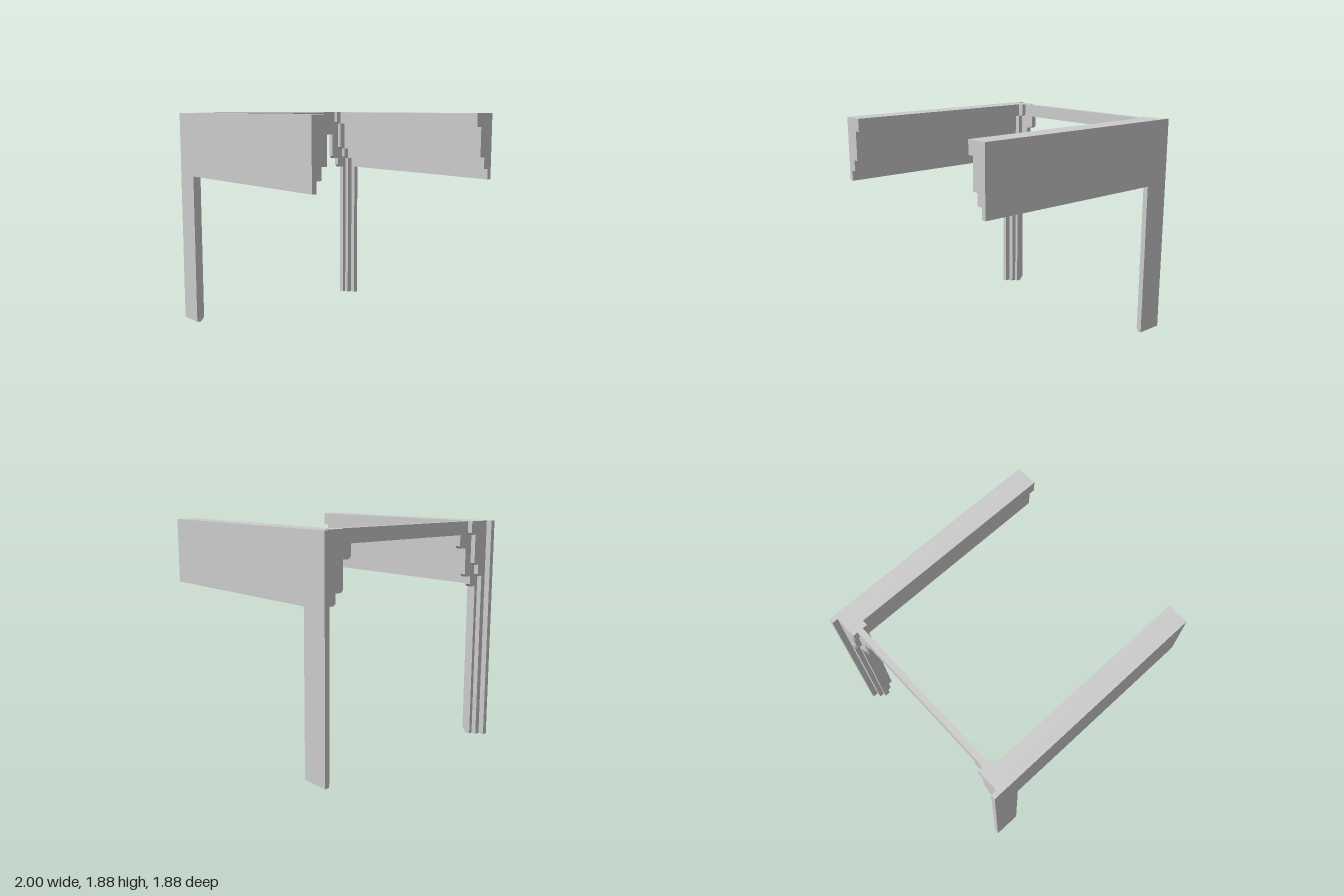
import * as THREE from 'three';

const TOP = 1.88, OUTER = 0.94, PLATE = 0.9; // height, outer face, inner face of the plates
const material = new THREE.MeshStandardMaterial({ color: 0xcccccc, flatShading: true });

// Stepped inner edge from bottom to top. Each step is [bottom y, z]; the lower inner corner is chamfered.
function steppedEdge(steps, chamfer) {
  const points = [];
  steps.forEach(([y, z], i) => {
    if (i === 0) {
      points.push([z, y]);
    } else {
      points.push([steps[i - 1][1], y]);
      if (chamfer) points.push([z + chamfer, y]);
      points.push([z, y + chamfer]);
    }
  });
  points.push([steps[steps.length - 1][1], TOP]);
  return points;
}

function toShape(points) {
  return new THREE.Shape(points.map(([a, b]) => new THREE.Vector2(a, b)));
}

// Extrude a (z, y) profile along x from x0 to x1
function alongX(name, points, x0, x1) {
  const geometry = new THREE.ExtrudeGeometry(toShape(points), { depth: x1 - x0, bevelEnabled: false });
  geometry.rotateY(-Math.PI / 2).translate(x1, 0, 0);
  const mesh = new THREE.Mesh(geometry, material);
  mesh.name = name;
  return mesh;
}

export function createModel() {
  const model = new THREE.Group();
  model.name = 'steppedPortal';

  const mouldingSteps = [[1.325, PLATE], [1.415, 0.855], [1.513, 0.806], [1.768, 0.756]];
  const pilasterSteps = [[0, 0.855], [1.415, 0.806], [1.513, 0.756], [1.768, 0.708]];
  const archSteps = [[0, 0.823], [1.325, 0.757], [1.415, 0.686], [1.655, 0.612]];

  for (const [side, s] of [['front', 1], ['back', -1]]) {
    const wall = new THREE.Group();
    wall.name = side + 'Wall';

    // Flat outer plate: post and side panel in one L shape
    const plateShape = toShape([[-1, 0], [-0.767, 0], [-0.767, 1.325], [1, 1.325], [1, TOP], [-1, TOP]]);
    const plateGeometry = new THREE.ExtrudeGeometry(plateShape, { depth: OUTER - PLATE, bevelEnabled: false });
    plateGeometry.translate(0, 0, s > 0 ? PLATE : -OUTER);
    const plate = new THREE.Mesh(plateGeometry, material);
    plate.name = side + 'Plate';

    const mirrored = (points) => points.map(([z, y]) => [z * s, y]);

    // Stepped moulding along the inside of the panel
    const moulding = [...steppedEdge(mouldingSteps, 0).slice(1), [PLATE, TOP]];
    // Pilaster and bracket on the post
    const pilaster = [[PLATE, 0], ...steppedEdge(pilasterSteps, 0.015), [PLATE, TOP]];

    wall.add(
      plate,
      alongX(side + 'Moulding', mirrored(moulding), -0.815, 1),
      alongX(side + 'Pilaster', mirrored(pilaster), -0.95, -0.815)
    );
    model.add(wall);
  }

  // Thin stepped arch joining both posts under a straight lintel
  const half = [[0.87, 0], ...steppedEdge(archSteps, 0.02).slice(0, -1), [0.612, 1.768]];
  const arch = [
    [0.87, TOP],
    ...half,
    ...half.map(([z, y]) => [-z, y]).reverse(),
    [-0.87, TOP]
  ];
  model.add(alongX('arch', arch, -0.907, -0.857));

  return model;
}
